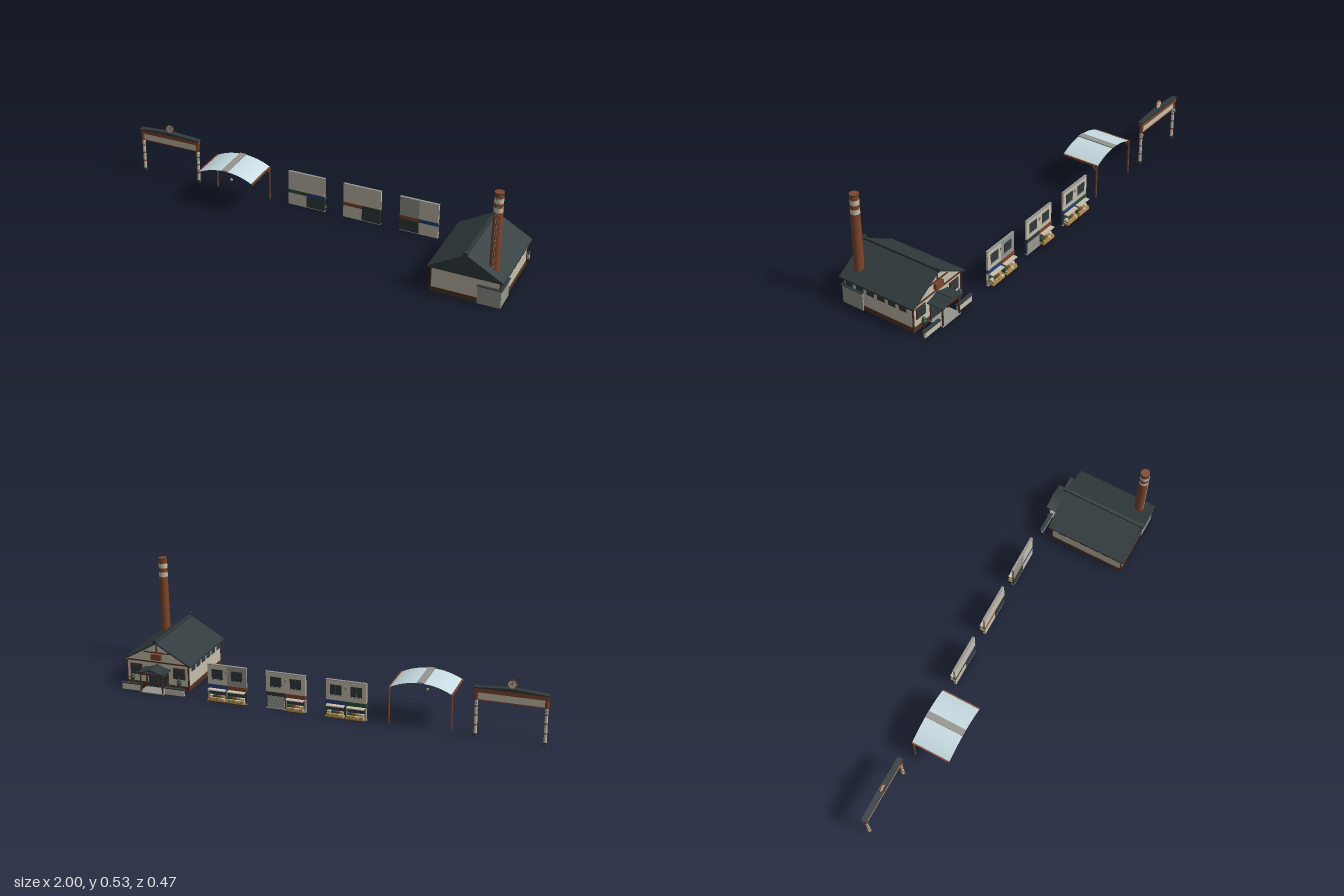
import * as THREE from 'three';

const mat = (name, color, side = THREE.FrontSide) => {
  const m = new THREE.MeshStandardMaterial({ color, side });
  m.name = name;
  return m;
};
const M = {
  cream: mat('cream plaster', 0xc7bfad),
  grey: mat('concrete grey', 0x959690),
  slate: mat('dark slate', 0x303a3c),
  brick: mat('brick red', 0x7f452b),
  brown: mat('dark timber', 0x503225),
  glass: mat('pale glass', 0xc8dce2, THREE.DoubleSide),
  blue: mat('indigo cloth', 0x284278),
  green: mat('leaf green', 0x2c5039),
  ochre: mat('ochre goods', 0xb99250),
};

function add(parent, name, geo, m, x = 0, y = 0, z = 0) {
  const mesh = new THREE.Mesh(geo, M[m]);
  mesh.name = name;
  mesh.position.set(x, y, z);
  parent.add(mesh);
  return mesh;
}
// box given by its ranges on each axis
const box = (p, name, m, x0, x1, y0, y1, z0, z1) =>
  add(p, name, new THREE.BoxGeometry(x1 - x0, y1 - y0, z1 - z0), m, (x0 + x1) / 2, (y0 + y1) / 2, (z0 + z1) / 2);
const post = (p, name, m, x, z, y0, y1, r, r2 = r, sides = 12) =>
  add(p, name, new THREE.CylinderGeometry(r2, r, y1 - y0, sides), m, x, (y0 + y1) / 2, z);
// outline in x,y pushed along z
function prism(p, name, m, pts, z0, z1) {
  const s = new THREE.Shape(pts.map(([x, y]) => new THREE.Vector2(x, y)));
  return add(p, name, new THREE.ExtrudeGeometry(s, { depth: z1 - z0, bevelEnabled: false }), m, 0, 0, z0);
}
const chevron = (w, eave, ridge, t) =>
  [[-w, eave], [-w, eave - t], [0, ridge - t], [w, eave - t], [w, eave], [0, ridge]].reverse();
function group(parent, name, x = 0) {
  const g = new THREE.Group();
  g.name = name;
  g.position.x = x;
  parent.add(g);
  return g;
}

function buildGate(root) {
  const g = group(root, 'streetGate', -0.838);
  for (const s of [-1, 1]) {
    const x = s * 0.151;
    post(g, 'gatePost', 'cream', x, -0.203, 0, 0.21, 0.007);
    post(g, 'postFoot', 'slate', x, -0.203, 0, 0.012, 0.011);
    for (const y of [0.05, 0.095, 0.135]) post(g, 'postBand', 'brick', x, -0.203, y, y + 0.006, 0.0085);
    post(g, 'postHead', 'brick', x, -0.203, 0.168, 0.21, 0.009);
    box(g, 'postLantern', 'grey', x - 0.005, x + 0.005, 0.149, 0.161, -0.214, -0.204);
  }
  box(g, 'topBeam', 'brick', -0.16, 0.16, 0.204, 0.225, -0.212, -0.194);
  box(g, 'signBoard', 'cream', -0.143, 0.143, 0.17, 0.204, -0.207, -0.199);
  box(g, 'signTrim', 'brick', -0.143, 0.143, 0.167, 0.171, -0.209, -0.197);
  prism(g, 'gateRoof', 'slate', [[-0.162, 0.224], [0.162, 0.224], [0.162, 0.228], [0.08, 0.234], [0, 0.239], [-0.08, 0.234], [-0.162, 0.228]], -0.217, -0.19);
  const disc = (name, m, r, d) =>
    add(g, name, new THREE.CylinderGeometry(r, r, d, 24).rotateX(Math.PI / 2), m, 0, 0.255, -0.203);
  disc('clockRim', 'brick', 0.021, 0.006);
  disc('clockFace', 'cream', 0.0175, 0.008);
  box(g, 'minuteHand', 'slate', -0.001, 0.001, 0.254, 0.268, -0.2075, -0.1985);
  box(g, 'hourHand', 'slate', -0.001, 0.009, 0.254, 0.256, -0.2075, -0.1985);
}

function buildCanopy(root) {
  const g = group(root, 'arcadeCanopy', -0.44);
  const w = 0.1405, rise = 0.036, apex = 0.208, zMid = -0.11, len = 0.19;
  const R = (w * w + rise * rise) / (2 * rise), half = Math.asin(w / R);
  const arcY = x => apex - R + Math.sqrt(R * R - x * x);
  const roof = new THREE.CylinderGeometry(R, R, len, 20, 1, true, Math.PI - half, half * 2).rotateX(Math.PI / 2);
  add(g, 'glassRoof', roof, 'glass', 0, apex - R, zMid);
  // slim purlins under the glass
  for (let i = -6; i <= 6; i++) {
    const x = i * w / 6.2;
    box(g, 'purlin', 'slate', x - 0.001, x + 0.001, arcY(x) - 0.004, arcY(x) - 0.001, -0.204, -0.016);
  }
  box(g, 'ridgeVent', 'grey', -0.016, 0.016, apex - 0.001, apex + 0.004, -0.205, -0.015);
  for (const s of [-1, 1]) {
    box(g, 'eaveBeam', 'brick', s * w - 0.003, s * w + 0.003, 0.166, 0.174, -0.205, -0.015);
    post(g, 'canopyPost', 'brick', s * w, -0.2, 0, 0.17, 0.004);
    post(g, 'canopyPostFoot', 'slate', s * w, -0.2, 0, 0.006, 0.0055);
    const brace = box(g, 'postBrace', 'brick', s * w - 0.0015, s * w + 0.0015, 0.138, 0.174, -0.1885, -0.1855);
    brace.rotation.x = Math.PI / 4;
  }
  // row of small lights under the roof
  for (let i = -9; i <= 9; i++)
    add(g, 'stringLight', new THREE.SphereGeometry(0.0032, 8, 6), 'slate', i * 0.0145, 0.147, -0.11);
  post(g, 'lampCord', 'slate', 0, -0.08, 0.135, apex, 0.0003, 0.0003, 6);
  add(g, 'hangingLamp', new THREE.SphereGeometry(0.007, 12, 8), 'grey', 0, 0.132, -0.08);
}

// halves are listed from -x to +x: backing colour, band colour, open or shuttered
function buildShop(root, x, halves) {
  const g = group(root, 'shopFront', x);
  halves.forEach((h, i) => {
    const x0 = i ? 0 : -0.094, x1 = x0 + 0.094, mid = (x0 + x1) / 2;
    box(g, 'upperWall', h.upper || 'cream', x0, x1, 0.08, 0.175, -0.209, -0.199);
    box(g, 'lowerWall', h.back, x0, x1, 0, 0.062, -0.207, -0.199);
    box(g, 'signBand', h.band, x0, x1, 0.062, 0.08, -0.212, -0.198);
    for (const s of [-1, 1])
      box(g, 'windowPane', 'slate', mid + s * 0.0135 - 0.013, mid + s * 0.0135 + 0.013, 0.106, 0.153, -0.211, -0.208);
    box(g, 'windowSill', 'grey', mid - 0.029, mid + 0.029, 0.102, 0.106, -0.213, -0.208);
    if (h.open) {
      // counter with rows of crates
      box(g, 'shopOpening', 'slate', x0 + 0.006, x1 - 0.006, 0.004, 0.06, -0.209, -0.206);
      box(g, 'counterBase', 'brown', x0 + 0.008, x1 - 0.008, 0, 0.006, -0.23, -0.208);
      box(g, 'counter', 'ochre', x0 + 0.006, x1 - 0.006, 0.006, 0.014, -0.232, -0.208);
      for (let k = 0; k < 4; k++) {
        const cx = x0 + 0.018 + k * 0.0193;
        box(g, 'lowCrate', ['ochre', 'cream', 'ochre', 'ochre'][(k + i) % 4], cx - 0.0085, cx + 0.0085, 0.014, 0.023, -0.232, -0.222);
        box(g, 'highCrate', ['cream', 'ochre', 'brick', 'green'][(k + i) % 4], cx - 0.0085, cx + 0.0085, 0.014, 0.031, -0.221, -0.209);
      }
      box(g, 'awningShelf', 'cream', x0 + 0.006, x1 - 0.006, 0.056, 0.06, -0.232, -0.207);
    } else {
      box(g, 'shutter', 'grey', x0 + 0.006, x1 - 0.006, 0.002, 0.06, -0.209, -0.206);
      for (let k = 0; k < 6; k++)
        box(g, 'shutterRib', 'grey', x0 + 0.006, x1 - 0.006, 0.006 + k * 0.009, 0.009 + k * 0.009, -0.2105, -0.208);
    }
  });
  box(g, 'parapetCap', 'grey', -0.095, 0.095, 0.173, 0.176, -0.211, -0.199);
  box(g, 'meterBox', 'grey', -0.006, 0.006, 0.135, 0.15, -0.214, -0.208);
  box(g, 'sill', 'grey', -0.095, 0.095, 0, 0.003, -0.212, -0.198);
}

function buildBathhouse(root) {
  const g = group(root, 'bathhouse', 0.828);
  const W = 0.155, zB = -0.155, zF = 0.213;
  box(g, 'walls', 'cream', -W, W, 0, 0.132, zB, zF);
  box(g, 'plinth', 'brown', -W - 0.002, W + 0.002, 0.001, 0.024, zB - 0.002, zF + 0.002);
  for (const s of [-1, 1]) {
    for (let i = 0; i < 6; i++) {
      const z = 0.185 - i * 0.0573;
      box(g, 'sideWindow', 'slate', s * W - 0.002, s * W + 0.002, 0.088, 0.118, z - 0.0195, z + 0.0195);
    }
    for (const z of [zB, zF])
      box(g, 'cornerPost', 'brown', s * W - 0.003, s * W + 0.003, 0.001, 0.128, z - 0.003, z + 0.003);
  }
  // main roof, closed with slate at one end and a plastered gable at the other
  prism(g, 'mainRoof', 'slate', chevron(0.17, 0.131, 0.228, 0.008), -0.17, 0.227);
  const tri = [[-0.163, 0.125], [0.163, 0.125], [0, 0.221]];
  prism(g, 'slateGable', 'slate', tri, -0.1, 0.226);
  prism(g, 'plasterGable', 'cream', tri, -0.158, -0.1);
  box(g, 'gableBeam', 'brown', -0.15, 0.15, 0.126, 0.132, -0.162, -0.157);
  box(g, 'gableTie', 'brown', -0.065, 0.065, 0.173, 0.178, -0.162, -0.157);
  box(g, 'gableStrut', 'brown', -0.003, 0.003, 0.178, 0.215, -0.162, -0.157);
  box(g, 'gablePanel', 'brick', -0.025, 0.025, 0.142, 0.17, -0.173, -0.157);
  box(g, 'ridgeCap', 'slate', -0.006, 0.006, 0.222, 0.235, -0.17, 0.227);
  box(g, 'ridgeEnd', 'slate', -0.01, 0.01, 0.224, 0.242, 0.223, 0.235);
  box(g, 'ridgeEnd', 'slate', -0.01, 0.01, 0.224, 0.242, -0.178, -0.166);
  // boiler room
  box(g, 'boilerRoom', 'grey', 0.057, 0.162, 0, 0.088, 0.11, 0.22);
  box(g, 'boilerRoof', 'slate', 0.054, 0.167, 0.087, 0.091, 0.107, 0.225);

  // banded chimney with ladder
  const c = group(g, 'chimney', 0.107);
  const bands = [[0.12, 0.435, 'brick'], [0.435, 0.458, 'cream'], [0.458, 0.478, 'brick'], [0.478, 0.501, 'cream'], [0.501, 0.527, 'brick']];
  const rad = y => 0.0225 - (y - 0.12) * 0.006;
  for (const [y0, y1, m] of bands) post(c, 'chimneyBand', m, 0, 0.167, y0, y1, rad(y0), rad(y1), 24);
  post(c, 'chimneyRim', 'slate', 0, 0.167, 0.523, 0.5265, 0.0215, 0.0215, 24);
  for (const s of [-1, 1]) box(c, 'ladderRail', 'grey', s * 0.004 - 0.0006, s * 0.004 + 0.0006, 0.16, 0.51, 0.1885, 0.19);
  for (let y = 0.165; y < 0.51; y += 0.01) box(c, 'ladderRung', 'grey', -0.004, 0.004, y, y + 0.001, 0.1885, 0.19);

  // entrance porch
  const p = group(g, 'porch');
  prism(p, 'porchRoof', 'slate', [[-0.067, 0.094], [-0.04, 0.097], [0, 0.111], [0.04, 0.097], [0.067, 0.094], [0.067, 0.099], [0.038, 0.104], [0, 0.118], [-0.038, 0.104], [-0.067, 0.099]], -0.234, -0.155);
  box(p, 'porchRidge', 'slate', -0.004, 0.004, 0.114, 0.12, -0.236, -0.155);
  for (const s of [-1, 1]) {
    for (const z of [-0.163, -0.225]) box(p, 'porchPost', 'brown', s * 0.054 - 0.003, s * 0.054 + 0.003, 0, 0.096, z - 0.003, z + 0.003);
    box(p, 'porchSideBeam', 'brown', s * 0.054 - 0.003, s * 0.054 + 0.003, 0.086, 0.09, -0.232, -0.157);
  }
  box(p, 'porchBeam', 'brown', -0.06, 0.06, 0.088, 0.096, -0.228, -0.222);
  box(p, 'porchStep', 'grey', -0.06, 0.06, 0, 0.004, -0.23, zB);
  box(p, 'doorway', 'slate', -0.046, 0.046, 0.004, 0.086, -0.16, -0.154);
  for (let i = -2; i <= 2; i++)
    box(p, 'doorCurtain', 'blue', i * 0.018 - 0.0085, i * 0.018 + 0.0085, 0.058, 0.085, -0.166, -0.164);
  box(p, 'centreStile', 'brown', -0.002, 0.002, 0.004, 0.06, -0.162, -0.156);

  // entrance-side windows, garden walls and shrubs
  for (const s of [-1, 1]) {
    const cx = s * 0.108;
    box(g, 'frontWindowFrame', 'brown', cx - 0.03, cx + 0.03, 0.056, 0.11, -0.158, -0.154);
    for (const t of [-1, 1])
      box(g, 'frontWindow', 'slate', cx + t * 0.0145 - 0.0125, cx + t * 0.0145 + 0.0125, 0.06, 0.106, -0.16, -0.156);
    box(g, 'gardenWall', 'cream', cx - 0.047, cx + 0.047, 0, 0.03, -0.215, -0.205);
    box(g, 'gardenWallCap', 'slate', cx - 0.052, cx + 0.052, 0.03, 0.034, -0.219, -0.202);
    const x = s * 0.118;
    post(g, 'planterStand', 'brown', x, -0.18, 0, 0.028, 0.002);
    post(g, 'planter', 'brown', x, -0.18, 0.028, 0.042, 0.007, 0.009);
    add(g, 'shrub', new THREE.IcosahedronGeometry(0.012, 1), 'green', x, 0.05, -0.18);
    add(g, 'shrubTop', new THREE.IcosahedronGeometry(0.009, 1), 'green', x, 0.06, -0.18);
  }
}

export function createModel() {
  const root = new THREE.Group();
  root.name = 'shoppingStreet';
  buildGate(root);
  buildCanopy(root);
  buildShop(root, -0.106, [{ back: 'cream', band: 'green', open: true }, { back: 'slate', band: 'blue', open: true }]);
  buildShop(root, 0.177, [{ back: 'cream', band: 'brick', open: true }, { back: 'slate', band: 'slate', open: false }]);
  buildShop(root, 0.459, [{ back: 'slate', band: 'brick', upper: 'grey', open: true }, { back: 'cream', band: 'blue', open: true }]);
  buildBathhouse(root);
  return root;
}
